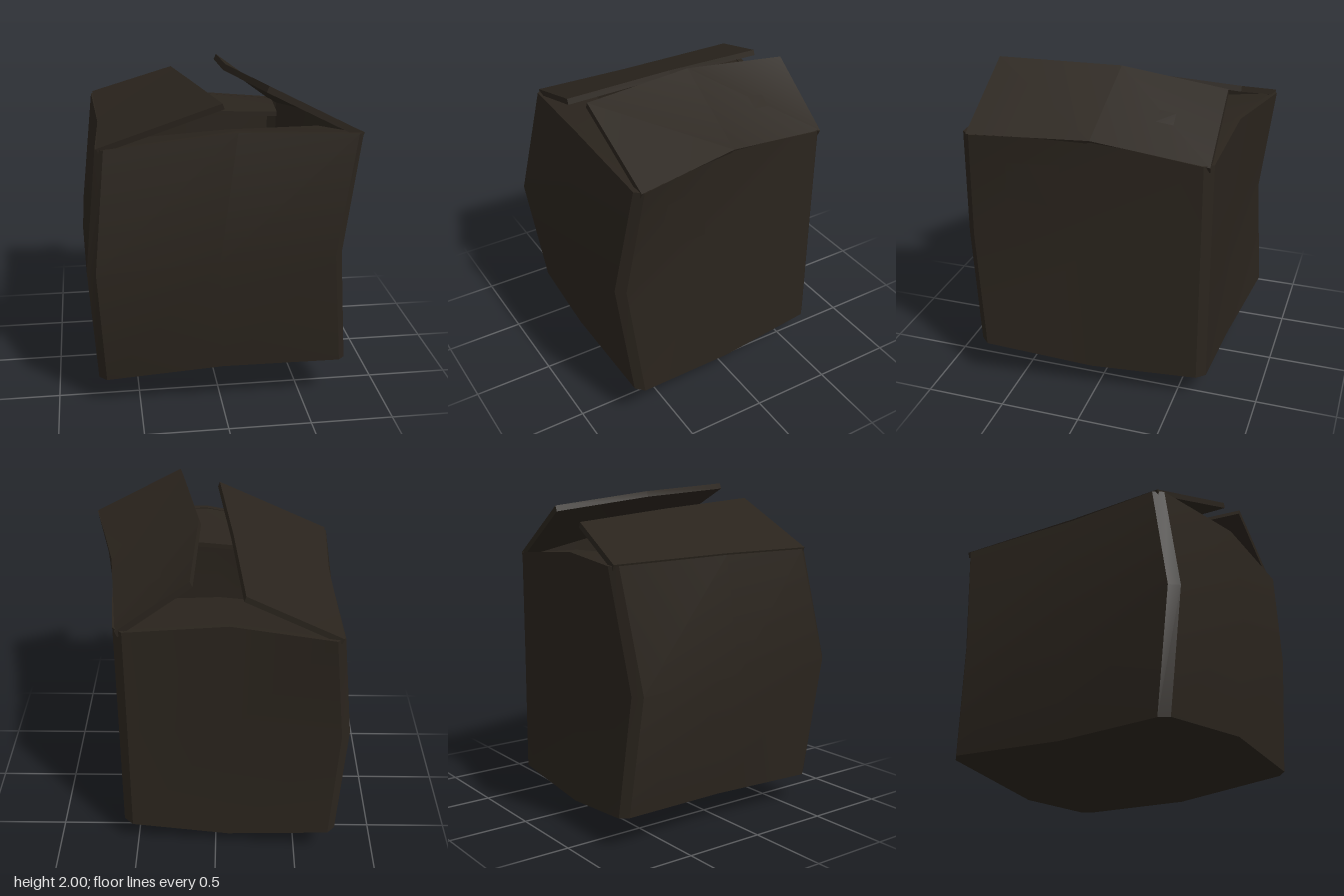
import * as THREE from 'three';
import { toCreasedNormals } from 'three/addons/utils/BufferGeometryUtils.js';

const V = (p) => new THREE.Vector3(...p);

// Skin a list of closed cross-sections; each end closes to its given centre.
function loft(sections, start, end) {
  const n = sections[0].length;
  const rings = [Array(n).fill(start), ...sections, Array(n).fill(end)];
  const pos = [];
  const tri = (a, b, c) => {
    const area = b.clone().sub(a).cross(c.clone().sub(a)).length();
    if (area > 1e-7) for (const p of [a, b, c]) pos.push(p.x, p.y, p.z);
  };
  for (let i = 0; i < rings.length - 1; i++) {
    for (let j = 0; j < n; j++) {
      const k = (j + 1) % n;
      tri(rings[i][j], rings[i][k], rings[i + 1][k]);
      tri(rings[i][j], rings[i + 1][k], rings[i + 1][j]);
    }
  }
  const g = new THREE.BufferGeometry();
  g.setAttribute('position', new THREE.Float32BufferAttribute(pos, 3));
  return toCreasedNormals(g, 0.5);
}

// Ring of corner, edge middle, corner...: each corner becomes a narrow bevel.
function bevelRing(points, bevel = 0.05) {
  const p = points.map(V), out = [];
  p.forEach((c, i) => {
    if (i % 2) { out.push(c); return; }
    const prev = p[(i + 7) % 8], next = p[(i + 1) % 8];
    for (const m of [prev, next]) {
      const d = m.clone().sub(c).normalize();
      out.push(c.clone().add(new THREE.Vector3(c.x, 0, c.z).multiplyScalar(0.015)).addScaledVector(d, bevel));
    }
  });
  return out;
}

// Shrink a ring horizontally and shift it in y, for the inside of the walls.
const inset = (ring, dy) => ring.map((p) => new THREE.Vector3(p.x * 0.95, p.y + dy, p.z * 0.95));

// Thin bent panel between a hinge line and a free edge.
function panel(hinge, edge, offset) {
  const off = V(offset);
  const sections = hinge.map((h, i) => {
    const a = V(h), b = V(edge[i]);
    return [a, b, b.clone().add(off), a.clone().add(off)];
  });
  const mid = (s) => s[0].clone().add(s[2]).multiplyScalar(0.5);
  return loft(sections, mid(sections[0]), mid(sections[sections.length - 1]));
}

export function createModel() {
  const group = new THREE.Group();
  const card = new THREE.MeshStandardMaterial({ color: 0x2a241d, side: THREE.DoubleSide });
  const add = (name, geometry) => {
    const mesh = new THREE.Mesh(geometry, card);
    mesh.name = name;
    group.add(mesh);
  };

  // Dented hollow box: three levels, each starting at the front -x corner
  const bottom = bevelRing([
    [-0.74, 0.18, 0.65], [0, 0.28, 0.75], [0.76, 0.27, 0.73], [0.66, 0.16, 0.03],
    [0.57, 0.16, -0.67], [-0.08, 0.09, -0.69], [-0.74, 0.2, -0.78], [-0.7, 0.18, -0.05],
  ]);
  const middle = bevelRing([
    [-0.78, 0.93, 0.75], [-0.03, 1, 0.825], [0.69, 1, 0.8], [0.65, 0.98, 0.05],
    [0.57, 0.92, -0.67], [-0.06, 0.9, -0.68], [-0.79, 0.9, -0.72], [-0.81, 0.93, 0],
  ]);
  const top = bevelRing([
    [-0.71, 1.63, 0.62], [0.08, 1.74, 0.73], [0.81, 1.71, 0.73], [0.645, 1.69, 0.02],
    [0.57, 1.58, -0.67], [-0.08, 1.64, -0.7], [-0.71, 1.62, -0.82], [-0.69, 1.63, 0],
  ]);
  add('boxBody', loft(
    [bottom, middle, top, inset(top, 0), inset(middle, 0), inset(bottom, 0.04)],
    V([-0.03, 0, 0.02]), V([-0.03, 0.05, 0.02]),
  ));

  // Raised side flaps
  add('leftFlap', panel(
    [[0.57, 1.58, -0.665], [0.65, 1.69, 0.02], [0.81, 1.71, 0.71]],
    [[0.14, 1.9, -0.66], [0.11, 1.97, 0], [0.25, 2, 0.73]],
    [-0.015, -0.035, 0],
  ));
  add('rightFlap', panel(
    [[-0.71, 1.64, 0.61], [-0.69, 1.64, 0], [-0.71, 1.63, -0.81]],
    [[-0.01, 1.91, 0.73], [-0.1, 1.87, 0], [-0.17, 1.82, -0.68]],
    [0.012, -0.033, 0],
  ));

  // Inner flaps folded in from the front and back
  add('frontFlap', panel(
    [[0.77, 1.71, 0.7], [0.08, 1.74, 0.72], [-0.68, 1.63, 0.61]],
    [[0.62, 1.66, 0.36], [0.08, 1.65, 0.34], [-0.62, 1.6, 0.31]],
    [0, -0.03, 0],
  ));
  add('backFlap', panel(
    [[-0.68, 1.61, -0.78], [-0.08, 1.64, -0.69], [0.53, 1.58, -0.65]],
    [[-0.62, 1.57, -0.34], [-0.02, 1.6, -0.29], [0.5, 1.58, -0.29]],
    [0, -0.03, 0],
  ));
  return group;
}
